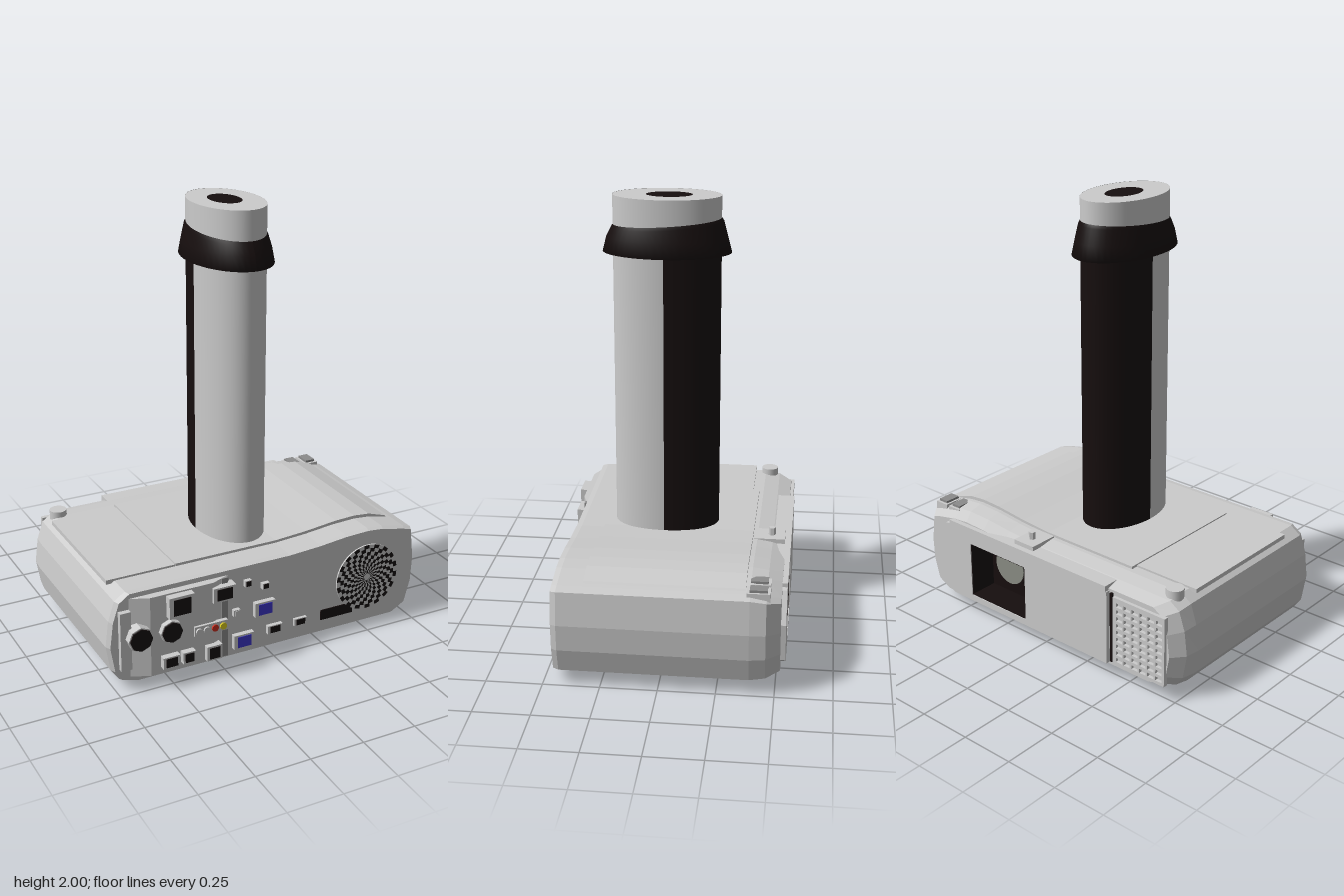
import * as THREE from 'three';
import { mergeGeometries } from 'three/addons/utils/BufferGeometryUtils.js';

const mat = (color, flat = true) =>
  new THREE.MeshStandardMaterial({ color, flatShading: flat, side: THREE.DoubleSide });
const GREY = mat(0xcccccc), SMOOTH = mat(0xcccccc, false);
const DARK = mat(0x160e0e), DARK_SMOOTH = mat(0x160e0e, false);
const BLUE = mat(0x4038d0), RED = mat(0xd03020), YELLOW = mat(0xe0d020), LENS = mat(0x8a8d84, false);

export function createModel() {
  const model = new THREE.Group();
  const add = (name, geo, material = GREY, x = 0, y = 0, z = 0, parent = model) => {
    const m = new THREE.Mesh(geo, material);
    m.name = name;
    m.position.set(x, y, z);
    parent.add(m);
    return m;
  };
  const box = (name, w, h, d, x, y, z, material = GREY) =>
    add(name, new THREE.BoxGeometry(w, h, d), material, x, y, z);
  const rectPath = (x0, y0, x1, y1, T = THREE.Path) =>
    new T([[x0, y0], [x1, y0], [x1, y1], [x0, y1]].map(p => new THREE.Vector2(...p)));
  const extrude = (shape, depth) =>
    new THREE.ExtrudeGeometry(shape, { depth, bevelEnabled: false });
  const disc = (r, d, seg) => new THREE.CylinderGeometry(r, r, d, seg).rotateX(Math.PI / 2);

  // Casing: one outline lofted along z, narrowing towards the lens end
  const outline = [[-0.66, 0.03], [0.67, 0.03], [0.74, 0.07], [0.77, 0.18], [0.777, 0.3], [0.76, 0.45],
    [0.72, 0.462], [0.6, 0.488], [0.52, 0.495], [0.4, 0.49], [0.26, 0.475], [0.1, 0.465], [-0.69, 0.465],
    [-0.74, 0.43], [-0.77, 0.34], [-0.785, 0.22], [-0.765, 0.1], [-0.73, 0.05]];
  const rings = [[0.455, 0.985, 0.985], [0.43, 1, 1], [-0.39, 1, 1], [-0.46, 0.99, 0.95], [-0.52, 0.93, 0.86]]
    .map(([z, sx, sy]) => outline.map(([x, y]) => [x * sx, 0.24 + (y - 0.24) * sy, z]));
  const n = outline.length, pos = rings.flat(2), index = [];
  for (let r = 0; r < rings.length - 1; r++) {
    for (let j = 0; j < n; j++) {
      const a = r * n + j, b = r * n + (j + 1) % n;
      index.push(a, a + n, b, b, a + n, b + n);
    }
  }
  const shell = new THREE.BufferGeometry();
  shell.setAttribute('position', new THREE.Float32BufferAttribute(pos, 3));
  shell.setIndex(index);
  shell.computeVertexNormals();
  add('casing', shell);
  const face = ring => new THREE.Shape(ring.map(p => new THREE.Vector2(p[0], p[1])));
  add('portFace', new THREE.ShapeGeometry(face(rings[0])), GREY, 0, 0, 0.455);
  const opening = [0.09, 0.1, 0.44, 0.37];
  const lensFace = face(rings[4]);
  lensFace.holes.push(rectPath(...opening));
  add('lensFace', new THREE.ShapeGeometry(lensFace), GREY, 0, 0, -0.52);

  // Raised plate around the lens opening, with the dark recess and lens
  const plate = new THREE.Shape([[-0.4, 0.07], [0.56, 0.07], [0.66, 0.13], [0.67, 0.3], [0.6, 0.43],
    [0.5, 0.445], [0.1, 0.425], [-0.4, 0.425]].map(p => new THREE.Vector2(...p)));
  plate.holes.push(rectPath(...opening));
  add('lensPlate', extrude(plate, 0.025), GREY, 0, 0, -0.542);
  const frame = rectPath(...opening, THREE.Shape);
  frame.holes.push(rectPath(0.095, 0.105, 0.435, 0.365));
  add('lensRecess', extrude(frame, 0.14), DARK, 0, 0, -0.538);
  box('recessBack', 0.35, 0.27, 0.01, 0.265, 0.235, -0.4, DARK);
  add('lensBarrel', disc(0.1, 0.04, 32), DARK_SMOOTH, 0.277, 0.27, -0.425);
  add('lens', disc(0.088, 0.02, 32), LENS, 0.277, 0.27, -0.44);

  // Vent grille beside the lens
  const grille = rectPath(-0.715, 0.08, -0.43, 0.41, THREE.Shape);
  for (let i = 0; i < 6; i++) {
    for (let j = 0; j < 9; j++) {
      const x = -0.702 + i * 0.044, y = 0.095 + j * 0.034;
      grille.holes.push(rectPath(x, y, x + 0.034, y + 0.02));
    }
  }
  add('ventGrille', extrude(grille, 0.022), GREY, 0, 0, -0.535);
  box('plateSeam', 0.012, 0.34, 0.02, -0.415, 0.25, -0.52, DARK);

  // Top lids
  const lid = new THREE.Shape([[-0.4, 0.45], [0.71, 0.45], [0.69, 0.475], [0.6, 0.503], [0.52, 0.51],
    [0.42, 0.506], [0.26, 0.488], [0.1, 0.477], [-0.4, 0.477]].map(p => new THREE.Vector2(...p)));
  add('topLid', extrude(lid, 0.69), GREY, 0, 0, -0.37);
  box('sideLid', 0.325, 0.02, 0.66, -0.566, 0.464, -0.01);

  // Knob, buttons and post on the top
  add('knob', new THREE.CylinderGeometry(0.04, 0.04, 0.06, 20), SMOOTH, -0.67, 0.462, -0.41);
  for (const x of [0.615, 0.7]) {
    box('buttonBase', 0.07, 0.05, 0.1, x, 0.45, -0.425);
    box('button', 0.05, 0.012, 0.075, x, 0.48, -0.425, mat(0x8c8c8c));
  }
  box('latch', 0.115, 0.03, 0.14, 0.117, 0.458, -0.445);
  add('post', new THREE.CylinderGeometry(0.016, 0.016, 0.06, 6), GREY, 0.12, 0.478, -0.455);
  box('topBrow', 0.97, 0.03, 0.1, 0.09, 0.437, -0.493);

  // Raised connector panel
  const panel = new THREE.Shape([[-0.72, 0.44], [-0.6, 0.49], [-0.3, 0.49], [-0.2, 0.45], [-0.72, 0.43]]
    .map(p => new THREE.Vector2(p[0], p[1])));
  add('connectorPanel', extrude(panel, 0.38).rotateX(Math.PI / 2), GREY, 0, 0.44, 0);
  box('panelSeam', 0.03, 0.39, 0.03, -0.235, 0.245, 0.46, mat(0x909090));
  box('sideTrim', 0.05, 0.28, 0.06, -0.71, 0.25, 0.45);

  // Sockets: grey rim with a coloured insert  [x, y, w, h, front z, colour]
  const sockets = [[-0.465, 0.383, 0.12, 0.1, 0.525, DARK], [-0.25, 0.38, 0.11, 0.07, 0.505, DARK],
    [-0.515, 0.12, 0.08, 0.055, 0.52, DARK], [-0.43, 0.12, 0.06, 0.055, 0.52, DARK],
    [-0.305, 0.107, 0.075, 0.07, 0.515, DARK], [-0.035, 0.24, 0.1, 0.07, 0.48, BLUE],
    [-0.14, 0.103, 0.1, 0.07, 0.48, BLUE], [0.02, 0.12, 0.075, 0.04, 0.475, DARK],
    [0.155, 0.12, 0.065, 0.035, 0.47, DARK], [-0.118, 0.383, 0.032, 0.03, 0.475, DARK],
    [-0.03, 0.35, 0.035, 0.028, 0.475, DARK], [-0.175, 0.25, 0.032, 0.032, 0.475, GREY]];
  for (const [x, y, w, h, z, m] of sockets) {
    box('socketRim', w, h, 0.08, x, y, z - 0.04);
    box('socketInsert', w * 0.68, h * 0.76, 0.01, x, y, z - 0.002, m);
  }
  for (const [x, r] of [[-0.655, 0.058], [-0.51, 0.053]]) {
    add('roundSocketRim', disc(r, 0.06, 8), GREY, x, 0.265, 0.485);
    add('roundSocketInsert', disc(r * 0.9, 0.02, 8), DARK, x, 0.265, 0.512);
  }
  box('jackPlate', 0.16, 0.048, 0.02, -0.315, 0.225, 0.492);
  [[-0.376, GREY], [-0.338, GREY], [-0.299, RED], [-0.259, YELLOW]].forEach(([x, m]) =>
    add('jack', disc(0.016, 0.02, 12), m, x, 0.225, 0.5));
  box('slot', 0.17, 0.05, 0.01, 0.352, 0.117, 0.455, DARK);

  // Round speaker with a twisted checker of dark cells
  add('speaker', disc(0.163, 0.012, 48), GREY, 0.51, 0.26, 0.456);
  const cells = [], sectors = 36, step = Math.PI * 2 / sectors;
  for (let k = 0; k < 8; k++) {
    const r = 0.016 + k * 0.0184;
    for (let s = 0; s < sectors; s += 2) {
      cells.push(new THREE.RingGeometry(r, r + 0.0184, 2, 1, (s + k % 2 + k * 0.25) * step, step));
    }
  }
  add('speakerHoles', mergeGeometries(cells), DARK, 0.51, 0.26, 0.4635);

  // Elliptical column: pale front half, dark rear half, pale tip
  const column = new THREE.Group();
  column.name = 'column';
  column.position.set(-0.01, 0, 0.04);
  model.add(column);
  const half = (name, y0, y1, start, length, m) => add(name,
    new THREE.CylinderGeometry(1, 1, y1 - y0, 48, 1, true, start, length).scale(0.155, 1, 0.24),
    m, 0, (y0 + y1) / 2, 0, column);
  half('columnFront', 0.44, 1.85, -Math.PI / 2, Math.PI, SMOOTH);
  half('columnBack', 0.44, 1.85, Math.PI / 2, Math.PI, DARK_SMOOTH);
  half('columnTip', 1.84, 2, 0, Math.PI * 2, SMOOTH);
  const ellipse = (rx, rz) => new THREE.CircleGeometry(1, 48).rotateX(-Math.PI / 2).scale(rx, 1, rz);
  add('columnTop', ellipse(0.155, 0.24), SMOOTH, 0, 1.999, 0, column);
  add('columnTopSpot', ellipse(0.068, 0.102), DARK_SMOOTH, 0, 2, -0.01, column);

  // Flared collar with a slightly slanted upper edge
  const collar = new THREE.LatheGeometry([[1.0, 1.75], [1.19, 1.75], [1.12, 1.815], [1.04, 1.87], [1.0, 1.885]]
    .map(p => new THREE.Vector2(...p)), 48).scale(0.155, 1, 0.24);
  const p = collar.attributes.position;
  for (let i = 0; i < p.count; i++) {
    if (p.getY(i) > 1.86) p.setY(i, p.getY(i) - p.getZ(i) * 0.07);
  }
  collar.computeVertexNormals();
  add('collar', collar, DARK_SMOOTH, 0, 0, 0, column);

  // Small pads, label and screw under the casing
  for (let i = 0; i < 4; i++) {
    for (let j = 0; j < 3; j++) {
      if ((i + j) % 4 !== 3) box('bottomPad', 0.07, 0.02, 0.035, 0.03 + i * 0.11, 0.025, 0.0 + j * 0.08);
    }
  }
  box('bottomPadWide', 0.13, 0.02, 0.05, 0.0, 0.025, 0.28);
  box('bottomLabel', 0.2, 0.006, 0.09, 0.36, 0.028, -0.34, mat(0xe8e8e8));
  for (let i = 0; i < 4; i++) box('labelStripe', 0.02, 0.006, 0.06, 0.3 + i * 0.04, 0.025, -0.34, DARK);
  add('screw', new THREE.CylinderGeometry(0.012, 0.012, 0.05, 8), GREY, 0.28, 0.025, -0.4);
  return model;
}
